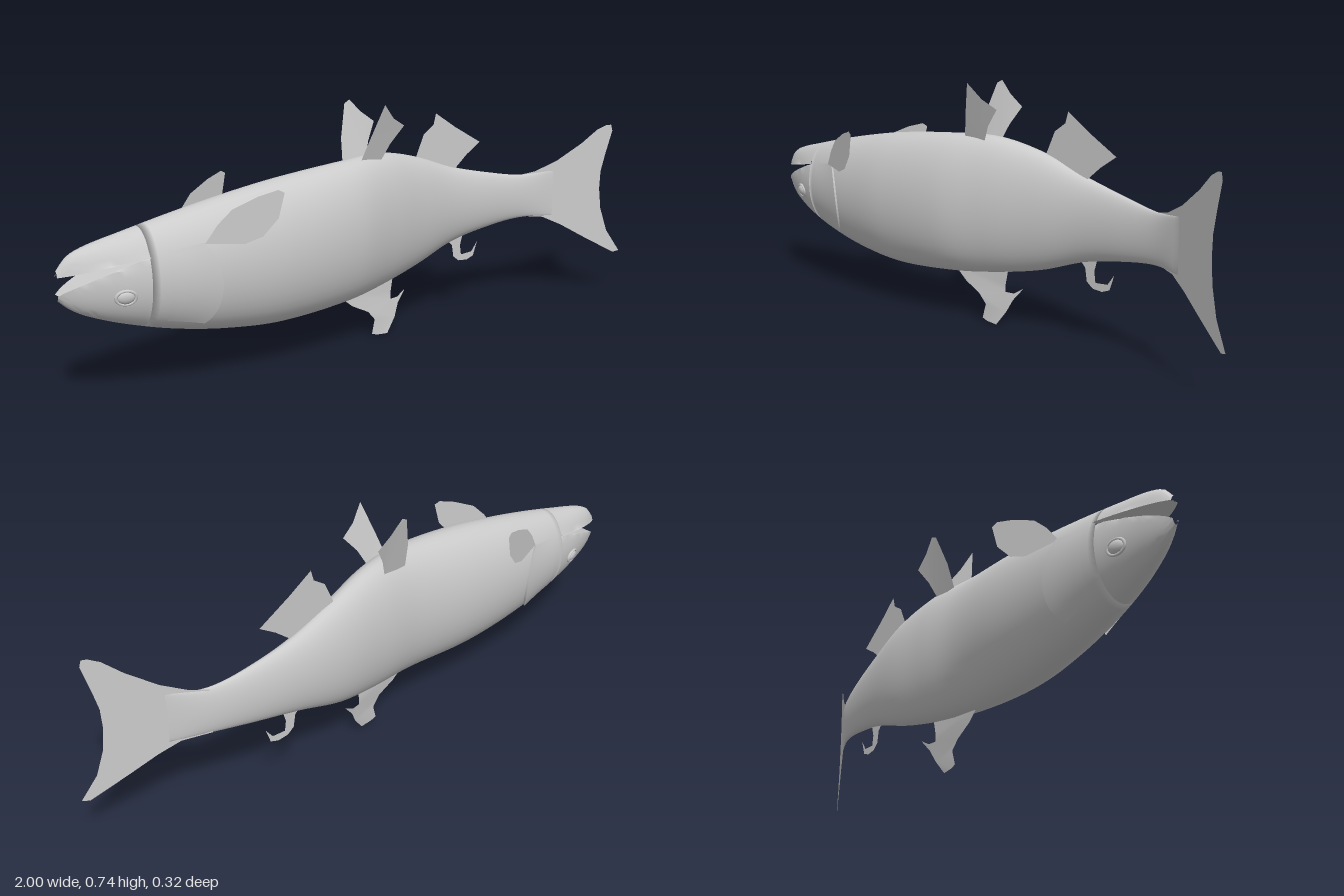
import * as THREE from 'three';
import { toCreasedNormals } from 'three/addons/utils/BufferGeometryUtils.js';

const grey = new THREE.MeshStandardMaterial({ color: 0xcccccc });
const thin = new THREE.MeshStandardMaterial({ color: 0xcccccc, side: THREE.DoubleSide });

// Body stations: x, top y, bottom y, centre z, half width
const STATIONS = [
  [-1.0, 0.39, 0.31, -0.028, 0.012], [-0.97, 0.425, 0.282, -0.026, 0.028],
  [-0.92, 0.447, 0.253, -0.022, 0.047], [-0.82, 0.47, 0.215, -0.016, 0.073],
  [-0.68, 0.5, 0.175, -0.01, 0.095], [-0.52, 0.53, 0.145, -0.005, 0.108],
  [-0.34, 0.557, 0.13, 0, 0.114], [-0.1, 0.578, 0.143, -0.004, 0.101],
  [0.06, 0.58, 0.16, -0.032, 0.086], [0.22, 0.545, 0.19, -0.06, 0.068],
  [0.38, 0.49, 0.24, -0.071, 0.045], [0.54, 0.452, 0.27, -0.062, 0.028],
  [0.66, 0.433, 0.285, -0.041, 0.016], [0.77, 0.44, 0.285, 0.001, 0.003],
];
const MOUTH = -0.77;

// Smooth section of the body at x (cubic through the stations)
function section(x) {
  const S = STATIONS, n = S.length;
  let i = 0;
  while (i < n - 2 && x > S[i + 1][0]) i++;
  const h = S[i + 1][0] - S[i][0], t = (x - S[i][0]) / h;
  const slope = (k, c) => {
    const a = S[Math.max(k - 1, 0)], b = S[Math.min(k + 1, n - 1)];
    return (b[c] - a[c]) / (b[0] - a[0]);
  };
  const [top, bottom, cz, hz] = [1, 2, 3, 4].map((c) => {
    const t2 = t * t, t3 = t2 * t;
    return S[i][c] * (2 * t3 - 3 * t2 + 1) + S[i + 1][c] * (3 * t2 - 2 * t3)
      + h * slope(i, c) * (t3 - 2 * t2 + t) + h * slope(i + 1, c) * (t3 - t2);
  });
  return { cy: (top + bottom) / 2, hy: (top - bottom) / 2, cz, hz };
}

function skin(x, angle, swell = 0) {
  const s = section(x);
  return [x, s.cy + (s.hy + swell) * Math.sin(angle), s.cz + (s.hz + swell) * Math.cos(angle)];
}

// Grid of points turned into a surface; closed grids get end caps
function surface(rows, closed) {
  const n = rows[0].length, index = [], points = rows.flat();
  for (let i = 0; i < rows.length - 1; i++) {
    for (let j = 0; j < (closed ? n : n - 1); j++) {
      const k = (j + 1) % n;
      const a = i * n + j, b = a + n, c = i * n + k, d = c + n;
      index.push(a, b, c, b, d, c);
    }
  }
  if (closed) {
    [0, rows.length - 1].forEach((r) => {
      const centre = [0, 1, 2].map((c) => rows[r].reduce((sum, p) => sum + p[c], 0) / n);
      const m = points.push(centre) - 1;
      for (let j = 0; j < n; j++) {
        const a = r * n + j, b = r * n + (j + 1) % n;
        index.push(m, ...(r ? [a, b] : [b, a]));
      }
    });
  }
  const g = new THREE.BufferGeometry();
  g.setAttribute('position', new THREE.Float32BufferAttribute(points.flat(), 3));
  g.setIndex(index);
  g.computeVertexNormals();
  return g;
}

// Tube of body sections, optionally clipped in height by a lip line
function loft(x0, x1, steps, clip = (x, y) => y) {
  const rows = [];
  for (let i = 0; i <= steps; i++) {
    const x = x0 + (x1 - x0) * i / steps, ring = [];
    for (let j = 0; j < 40; j++) {
      const p = skin(x, j / 40 * Math.PI * 2);
      p[1] = clip(x, p[1]);
      ring.push(p);
    }
    rows.push(ring);
  }
  return surface(rows, true);
}

// Flat outline in x and y, set to depth by a rule
function fin(outline, depth) {
  const g = new THREE.ShapeGeometry(new THREE.Shape(outline.map((p) => new THREE.Vector2(...p))));
  const p = g.attributes.position;
  for (let i = 0; i < p.count; i++) p.setZ(i, depth(p.getX(i), p.getY(i)));
  g.computeVertexNormals();
  return g;
}

export function createModel() {
  const model = new THREE.Group();
  const add = (name, geometry, material = grey) => {
    const mesh = new THREE.Mesh(geometry, material);
    mesh.name = name;
    model.add(mesh);
    return mesh;
  };

  // Body and the two open jaws
  add('body', loft(MOUTH, 0.77, 70));
  const upperLip = (x) => 0.375 + 0.035 * (x + 1) / 0.23;
  const lowerLip = (x) => 0.325 + 0.085 * Math.pow((x + 1) / 0.23, 0.8);
  add('upperJaw', toCreasedNormals(loft(-1, MOUTH, 16, (x, y) => Math.max(y, upperLip(x))), 0.7));
  add('lowerJaw', toCreasedNormals(loft(-1, MOUTH, 16, (x, y) => Math.min(y, lowerLip(x))), 0.7));

  // Tail fin, swept to the side
  add('tailFin', fin([
    [0.66, 0.43], [0.71, 0.44], [0.78, 0.473], [0.86, 0.53], [0.91, 0.575], [0.94, 0.59], [0.955, 0.59],
    [0.96, 0.57], [0.94, 0.49], [0.927, 0.43], [0.925, 0.37], [0.932, 0.3], [0.955, 0.22], [1, 0.145],
    [0.98, 0.14], [0.95, 0.158], [0.88, 0.2], [0.8, 0.25], [0.74, 0.28], [0.66, 0.288],
  ], (x) => -0.03 + 0.45 * (x - 0.7)), thin);

  // Fins along the middle line
  add('analFin', fin([
    [0.22, 0.52], [0.23, 0.545], [0.26, 0.61], [0.3, 0.637], [0.31, 0.672], [0.39, 0.62],
    [0.495, 0.56], [0.44, 0.525], [0.385, 0.48], [0.3, 0.49],
  ], (x, y) => -0.065 - 0.02 * (y - 0.5)), thin);
  add('dorsalFin', fin([
    [-0.11, 0.155], [-0.06, 0.115], [0, 0.085], [0.027, 0.055], [0.015, 0.01], [0.035, 0.003], [0.075, 0],
    [0.11, 0.045], [0.13, 0.085], [0.165, 0.125], [0.13, 0.105], [0.1, 0.105], [0.1, 0.13], [0.11, 0.18],
  ], (x, y) => -0.012 - 0.16 * Math.max(x, 0) * Math.min(1, y / 0.1)), thin);
  add('adiposeFin', fin([
    [0.36, 0.25], [0.385, 0.225], [0.392, 0.185], [0.415, 0.168], [0.45, 0.165], [0.478, 0.175],
    [0.495, 0.222], [0.47, 0.19], [0.425, 0.187], [0.42, 0.22], [0.435, 0.27],
  ], () => -0.068), thin);

  // Pelvic pair, leaning apart
  add('leftPelvicFin', fin([
    [-0.045, 0.56], [-0.02, 0.64], [0.015, 0.742], [0.06, 0.695], [0.11, 0.667], [0.065, 0.615], [0.035, 0.56],
  ], (x, y) => 0.008 + 0.27 * (y - 0.57) - 0.1 * Math.max(x, 0)), thin);
  add('rightPelvicFin', fin([
    [-0.058, 0.55], [-0.05, 0.63], [-0.02, 0.73], [0, 0.74], [0.04, 0.7], [0.09, 0.665], [0.055, 0.61], [0.03, 0.55],
  ], (x, y) => -0.068 - 0.24 * (y - 0.57) - 0.15 * Math.max(x, 0)), thin);

  for (const s of [1, -1]) {
    const side = s > 0 ? 'left' : 'right';

    // Pectoral fin, flaring backwards
    add(side + 'PectoralFin', fin([
      [-0.624, 0.43], [-0.59, 0.48], [-0.55, 0.52], [-0.48, 0.55], [-0.427, 0.564], [-0.41, 0.555],
      [-0.427, 0.485], [-0.47, 0.437], [-0.52, 0.42],
    ], (x) => s * (0.096 + 0.31 * (x + 0.62))), thin);

    // Gill cover with a raised rear edge
    const rows = [];
    for (let i = 0; i <= 7; i++) {
      const row = [];
      for (let j = 0; j <= 16; j++) {
        const a = -0.9 + 1.45 * j / 16, edge = -0.575 - 0.08 * (a + 0.2) ** 2;
        const u = Math.min(i / 6, 1);
        const swell = i === 7 ? -0.004 : 0.007 * u * u;
        row.push(skin(-0.72 + (edge + 0.72) * u, s > 0 ? a : Math.PI - a, swell));
      }
      rows.push(s > 0 ? row : row.reverse());
    }
    add(side + 'GillCover', toCreasedNormals(surface(rows, false), 0.8), thin);

    // Eye with its rim
    const [ex, ey, ez] = skin(-0.84, s > 0 ? -0.3 : Math.PI + 0.3);
    const eye = new THREE.Group();
    eye.name = side + 'Eye';
    const ball = new THREE.Mesh(new THREE.SphereGeometry(0.024, 20, 12), grey);
    ball.name = 'eyeball';
    ball.scale.z = 0.4;
    const rim = new THREE.Mesh(new THREE.TorusGeometry(0.027, 0.005, 8, 28), grey);
    rim.name = 'eyeRim';
    eye.add(ball, rim);
    eye.position.set(ex, ey, ez);
    eye.scale.y = 0.75;
    eye.rotation.set(s * 0.17, -s * 0.24, 0);
    model.add(eye);
  }
  return model;
}
